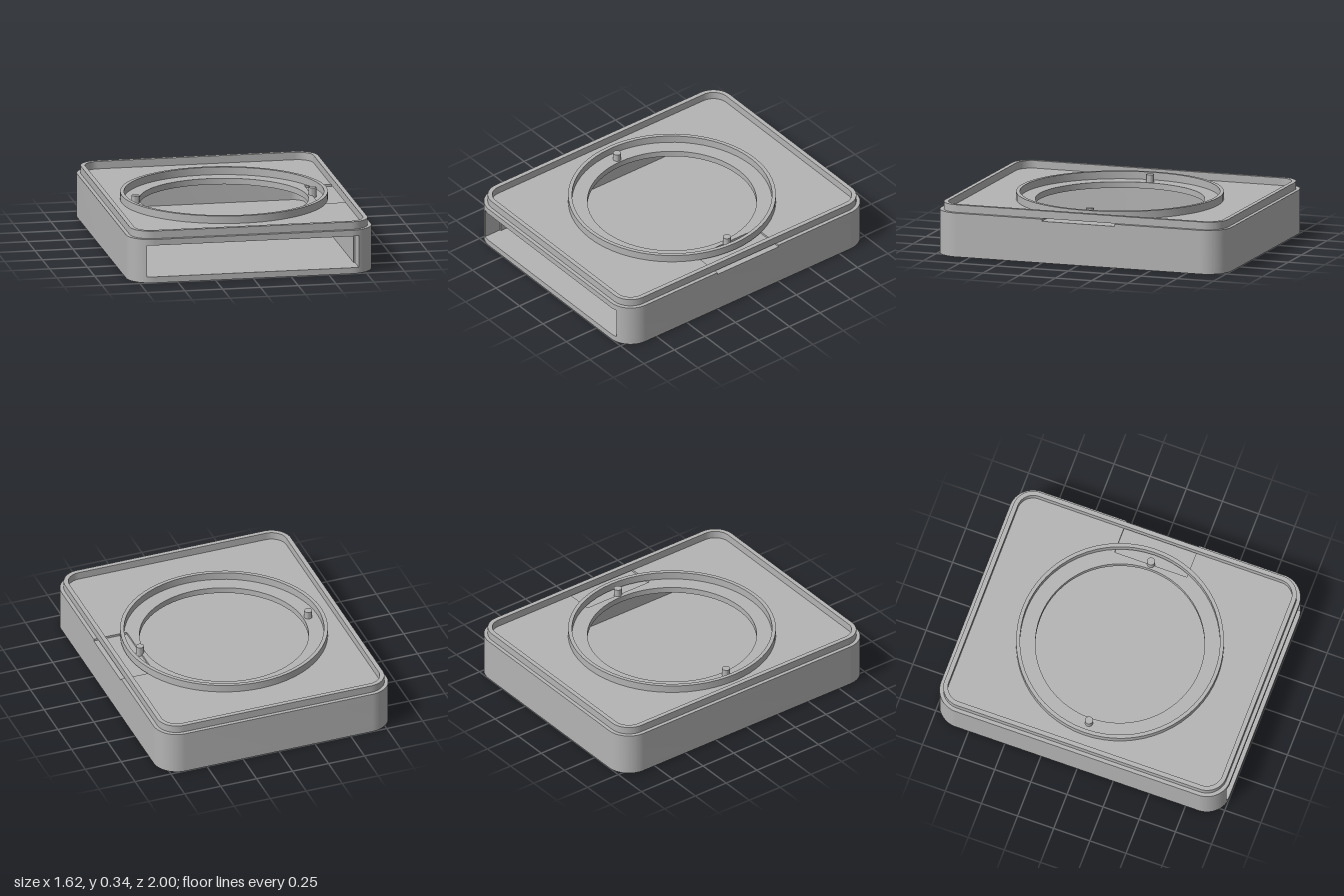
import * as THREE from 'three';
import { toCreasedNormals } from 'three/addons/utils/BufferGeometryUtils.js';

const HALF_PI = Math.PI / 2;

// Rounded rectangle, half width w, half length l, corner radius r
function rounded(w, l, r, path = new THREE.Shape()) {
  const a = w - r, b = l - r;
  path.absarc(a, b, r, 0, HALF_PI);
  path.absarc(-a, b, r, HALF_PI, Math.PI);
  path.absarc(-a, -b, r, Math.PI, 3 * HALF_PI);
  path.absarc(a, -b, r, 3 * HALF_PI, 4 * HALF_PI);
  return path;
}

function circle(r, path = new THREE.Shape()) {
  return path.absarc(0, 0, r, 0, Math.PI * 2);
}

export function createModel() {
  const group = new THREE.Group();
  const grey = new THREE.MeshStandardMaterial({ color: 0xb4b4b4 });
  grey.name = 'grey';

  // Extrudes a plan shape from height y0 to y1 (shape -y is the front)
  function slab(name, shape, y0, y1, curveSegments = 16) {
    const geo = new THREE.ExtrudeGeometry(shape, { depth: y1 - y0, bevelEnabled: false, curveSegments });
    geo.rotateX(-HALF_PI);
    geo.translate(0, y0, 0);
    const mesh = new THREE.Mesh(toCreasedNormals(geo, 0.6), grey);
    mesh.name = name;
    group.add(mesh);
    return mesh;
  }

  const W = 0.81, L = 1, R = 0.16;
  const cx = W - R, cz = L - R;
  const floorY = 0.04, ceilingY = 0.25, recessY = 0.276, deckY = 0.29, topY = 0.34;

  // Floor
  slab('floor', rounded(W, L, R), 0, floorY);

  // Side and back walls, open at the front, with a small step inside the mouth
  const mouth = 0.7, inner = 0.69, stepZ = 0.87, back = 0.88, ir = 0.08;
  const cut = Math.acos((mouth - cx) / R);
  const walls = new THREE.Shape();
  walls.absarc(cx, -cz, R, -cut, 0);
  walls.absarc(cx, cz, R, 0, HALF_PI);
  walls.absarc(-cx, cz, R, HALF_PI, Math.PI);
  walls.absarc(-cx, -cz, R, Math.PI, Math.PI + cut);
  walls.lineTo(-mouth, -stepZ);
  walls.lineTo(-inner, -stepZ);
  walls.absarc(-inner + ir, back - ir, ir, Math.PI, HALF_PI, true);
  walls.absarc(inner - ir, back - ir, ir, HALF_PI, 0, true);
  walls.lineTo(inner, -stepZ);
  walls.lineTo(mouth, -stepZ);
  slab('walls', walls, floorY, ceilingY);

  // Deck with the large round opening
  const holeR = 0.55;
  const deck = rounded(W, L, R);
  deck.holes.push(circle(holeR, new THREE.Path()));
  slab('deck', deck, ceilingY, recessY, 32);

  // Upper deck layer, notched on the left for the shallow slot
  const notched = rounded(W, L, R);
  notched.lineTo(W, -0.25);
  notched.lineTo(0.58, -0.25);
  notched.lineTo(0.58, 0.25);
  notched.lineTo(W, 0.25);
  notched.holes.push(circle(holeR, new THREE.Path()));
  slab('deckTop', notched, recessY, deckY, 32);

  // Raised lip around the edge
  const lip = rounded(0.785, 0.975, 0.135);
  lip.holes.push(rounded(0.755, 0.945, 0.105, new THREE.Path()));
  slab('lip', lip, deckY, topY);

  // Raised ring around the opening
  const ring = circle(0.675);
  ring.holes.push(circle(0.65, new THREE.Path()));
  slab('ring', ring, deckY, topY, 32);

  // Locating pins
  for (const side of [-1, 1]) {
    const pin = slab(side > 0 ? 'leftPin' : 'rightPin', circle(0.026), recessY, topY, 12);
    pin.position.x = side * 0.585;
  }
  return group;
}
